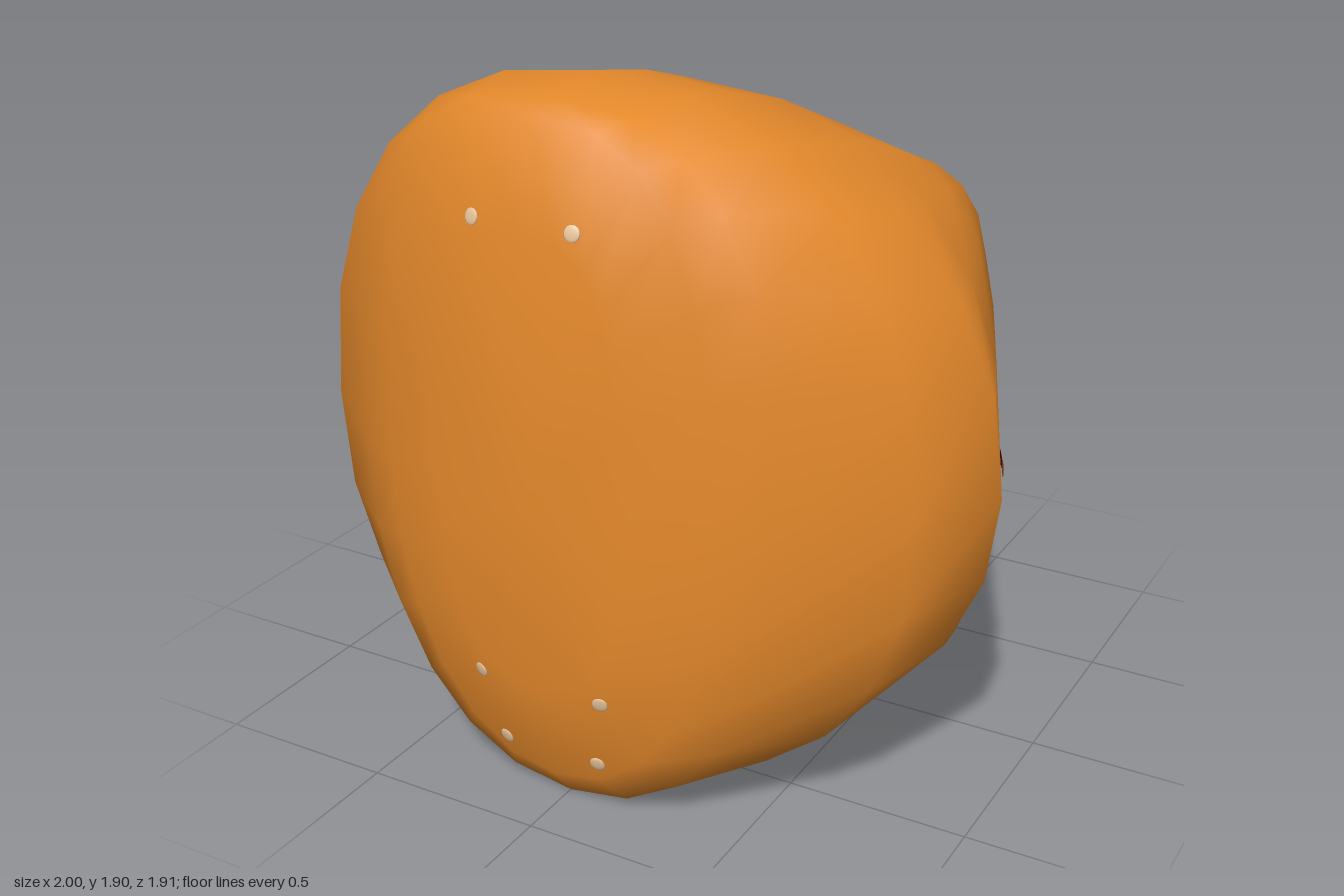
import * as THREE from 'three';
import { mergeVertices } from 'three/addons/utils/BufferGeometryUtils.js';

// Cross-sections, front to back:
// z, half width, top, bottom, upper lip, lower lip, upper roundness, lower roundness
const SECTIONS = [
  [0.957, 0, 0.9, 0.9, 0.9, 0.9, 0.7, 0.8],
  [0.955, 0.27, 1.59, 0.39, 0.9, 0.9, 0.7, 0.8],
  [0.88, 0.48, 1.86, 0.09, 0.9, 0.9, 0.78, 0.95],
  [0.81, 0.61, 1.885, 0, 0.9, 0.9, 0.74, 0.92],
  [0.6, 0.87, 1.905, 0.015, 0.9, 0.9, 0.87, 0.87],
  [0.37, 1, 1.86, 0.04, 0.9, 0.9, 0.97, 0.97],
  [0.2, 0.93, 1.81, 0.06, 0.9, 0.9, 0.85, 0.78],
  [0, 0.83, 1.7, 0.15, 0.9, 0.9, 0.6, 0.5],
  [-0.2, 0.72, 1.59, 0.25, 0.9, 0.9, 0.38, 0.32],
  [-0.45, 0.56, 1.45, 0.38, 0.9, 0.9, 0.36, 0.32],
  [-0.72, 0.33, 1.25, 0.56, 0.92, 0.87, 0.42, 0.38],
  [-0.8, 0.23, 1.17, 0.64, 0.93, 0.84, 0.5, 0.45],
  [-0.955, 0.01, 1.02, 0.775, 1.01, 0.785, 0.6, 0.6],
];
const ARC = 12;

// Interpolated section at any z
function sectionAt(z) {
  let i = 1;
  while (i < SECTIONS.length - 1 && SECTIONS[i][0] > z) i++;
  const a = SECTIONS[i - 1], b = SECTIONS[i];
  const t = (z - a[0]) / (b[0] - a[0]);
  return a.map((v, k) => v + (b[k] - v) * t);
}

// Point on a flank at a given height and depth, kept on the lips and off the gap
function flankPoint(side, height, z, lift) {
  const [, w, top, bottom, up, low, pUp, pLow] = sectionAt(z);
  const upper = height > 0.9;
  const y = upper ? Math.max(height, up) : Math.min(height, low);
  const r = upper ? (y - up) / (top - up) : (low - y) / (low - bottom);
  const p = upper ? pUp : pLow;
  const x = w * Math.pow(1 - Math.pow(Math.min(r, 1), 2 / p), p / 2);
  return [side * (x + lift), y, z];
}

// Closed ring: upper arc from +x to -x, then lower arc back to +x
function ring([z, w, top, bottom, up, low, pUp, pLow]) {
  const pts = [];
  for (let half = 0; half < 2; half++) {
    const p = half ? pLow : pUp;
    for (let j = 0; j <= ARC; j++) {
      const a = (half + j / ARC) * Math.PI;
      const c = Math.cos(a), s = j % ARC === 0 ? 0 : Math.abs(Math.sin(a));
      const x = j * 2 === ARC ? 0 : w * Math.sign(c) * Math.pow(Math.abs(c), p);
      const h = Math.pow(s, p);
      pts.push([x, half ? low - (low - bottom) * h : up + (top - up) * h, z]);
    }
  }
  return pts;
}

function geometryFrom(positions) {
  let g = new THREE.BufferGeometry();
  g.setAttribute('position', new THREE.Float32BufferAttribute(positions, 3));
  g = mergeVertices(g, 1e-4);
  g.computeVertexNormals();
  return g;
}

const quad = (out, a, b, c, d) => out.push(...a, ...b, ...c, ...a, ...c, ...d);

// Thin painted strip along one flank, a little narrower at both ends
function flankStrip(side, z0, z1, yLow, yHigh, lift) {
  const out = [], steps = 16;
  const mid = (yLow + yHigh) / 2, half = (yHigh - yLow) / 2;
  const edge = (n, sign) => flankPoint(
    side, mid + sign * half * (n % steps === 0 ? 0.6 : 1), z0 + (z1 - z0) * n / steps, lift);
  for (let i = 0; i < steps; i++) {
    const corners = [edge(i, -1), edge(i + 1, -1), edge(i + 1, 1), edge(i, 1)];
    quad(out, ...(side > 0 ? corners : corners.reverse()));
  }
  return geometryFrom(out);
}

export function createModel() {
  const group = new THREE.Group();
  const material = (name, color) => {
    const m = new THREE.MeshStandardMaterial({ color, side: THREE.DoubleSide });
    m.name = name;
    return m;
  };
  const orange = material('orange', 0xe88b2c);
  const rust = material('rust', 0xb0480f);
  const maroon = material('maroon', 0x52060f);
  const cream = material('cream', 0xe8c49a);
  const add = (name, geometry, mat) => {
    const mesh = new THREE.Mesh(geometry, mat);
    mesh.name = name;
    group.add(mesh);
    return mesh;
  };

  // Outer skin, running smoothly into the facing insides of the two lips
  const rings = SECTIONS.map(ring), skin = [];
  for (let i = 0; i < rings.length - 1; i++) {
    const a = rings[i], b = rings[i + 1];
    for (let j = 0; j < 2 * ARC + 1; j++) {
      if (j !== ARC) quad(skin, a[j], b[j], b[j + 1], a[j + 1]);
    }
    if (SECTIONS[i][0] <= -0.45) {
      quad(skin, a[0], a[ARC], b[ARC], b[0]);
      quad(skin, a[ARC + 1], a[2 * ARC + 1], b[2 * ARC + 1], b[ARC + 1]);
    }
  }
  const body = add('body', geometryFrom(skin), orange);

  // Mouth line and rust markings on both flanks
  for (const side of [1, -1]) {
    add('mouthLine', flankStrip(side, 0.18, -0.46, 0.884, 0.916, 0.008), maroon);
    add('mouthCorner', flankStrip(side, 0.23, 0.175, 0.884, 0.916, 0.007), rust);
    add('upperLipMark', flankStrip(side, -0.32, -0.79, 0.905, 0.957, 0.005), rust);
    add('lowerLipMark', flankStrip(side, -0.26, -0.71, 0.832, 0.895, 0.005), rust);
    add('mouthStud', flankStrip(side, -0.445, -0.51, 0.88, 0.91, 0.0095), cream);
  }

  // Small flat studs in mirrored pairs: x, y, z of a start point and the direction to the skin
  const back = [0, 0, -1], down = [0, -1, 0], up = [0, 1, 0];
  const studs = [
    [0.14, 1.61, 4, back], [0.14, 0.17, 4, back], [0.18, 0.38, 4, back],
    [0.18, 4, -0.22, down], [0.18, 4, -0.43, down], [0.18, 4, -0.55, down], [0.18, 4, -0.71, down],
    [0.18, -4, -0.61, up], [0.18, -4, -0.755, up],
    [0.18, 0.895, -0.71, up], [0.18, 0.895, -0.71, down],
  ];
  const studGeometry = new THREE.SphereGeometry(0.021, 12, 8);
  const ray = new THREE.Raycaster();
  for (const [x, y, z, aim] of studs) {
    for (const side of [1, -1]) {
      ray.set(new THREE.Vector3(side * x, y, z), new THREE.Vector3(...aim));
      const hit = ray.intersectObject(body)[0];
      const stud = add('stud', studGeometry, cream);
      stud.position.copy(hit.point);
      stud.quaternion.setFromUnitVectors(new THREE.Vector3(0, 0, 1), hit.face.normal);
      stud.scale.z = 0.2;
    }
  }
  return group;
}
